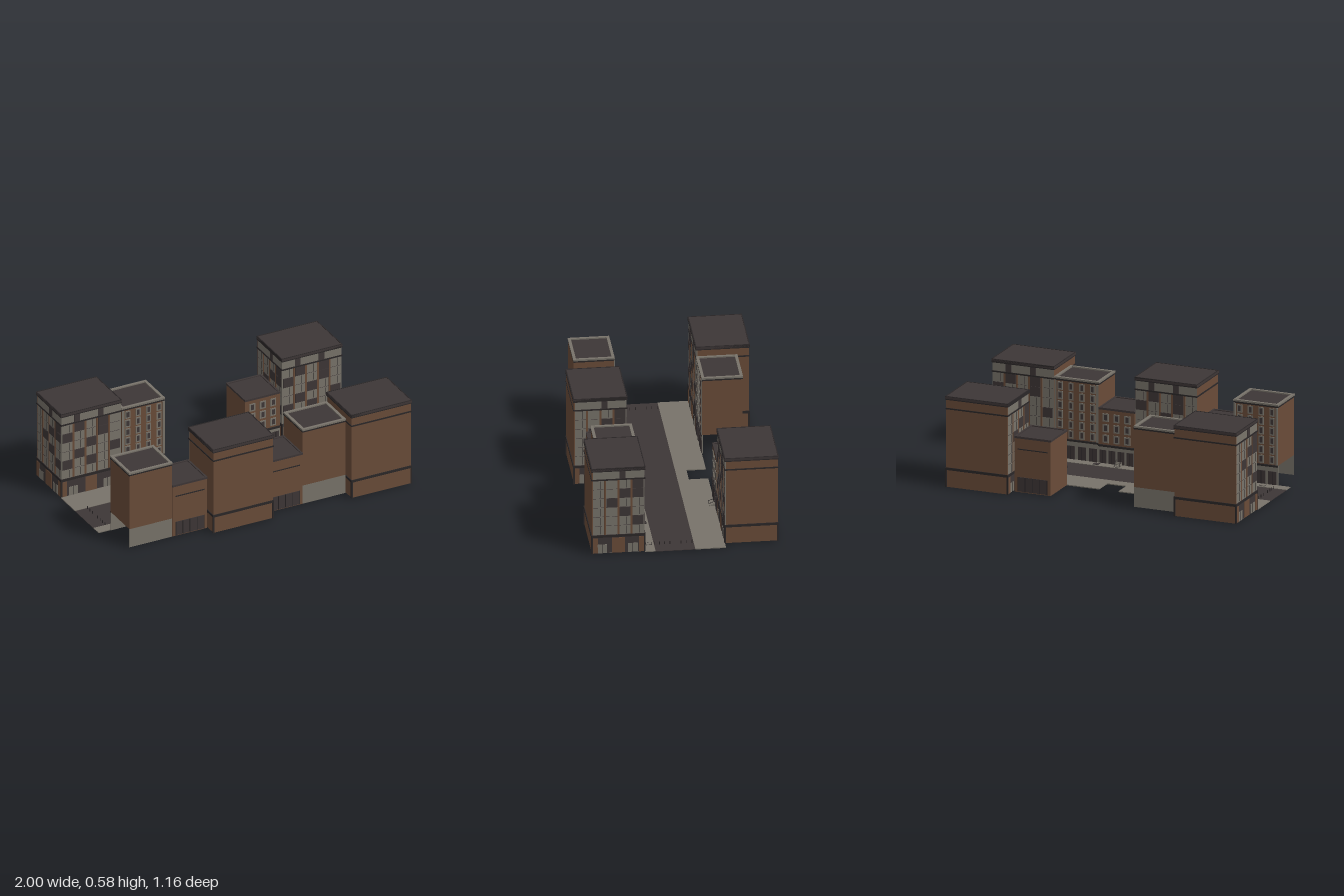
import * as THREE from 'three';

const mat = (name, color) => {
  const m = new THREE.MeshStandardMaterial({ color });
  m.name = name;
  return m;
};

export function createModel() {
  const brick = mat('brick', 0x6a4c39);
  const stone = mat('stone', 0x78736a);
  const slate = mat('slate', 0x3d3636);
  const trim = mat('dark trim', 0x2b2728);
  const FLOOR = 0.0625, T = 0.006;

  // Box given by its x, y, z ranges
  const box = (parent, name, m, x0, x1, y0, y1, z0, z1) => {
    const mesh = new THREE.Mesh(new THREE.BoxGeometry(x1 - x0, y1 - y0, z1 - z0), m);
    mesh.position.set((x0 + x1) / 2, (y0 + y1) / 2, (z0 + z1) / 2);
    mesh.name = name;
    parent.add(mesh);
    return mesh;
  };
  const group = (parent, name, x = 0, z = 0, turn = 0) => {
    const g = new THREE.Group();
    g.name = name;
    g.position.set(x, 0, z);
    g.rotation.y = turn;
    parent.add(g);
    return g;
  };
  // Thin painted plate on a facade whose outer plane is z = 0
  const plate = (f, name, m, u0, u1, y0, y1, out = 0.003) => box(f, name, m, u0, u1, y0, y1, -0.001, out);

  // Hollow building shell, open underneath; street side at z = 0
  const shell = (g, w, d, y0, y1, mats) => {
    const h = w / 2;
    box(g, 'streetWall', mats[0], -h, h, y0, y1, -T, 0);
    box(g, 'backWall', mats[1], -h, h, y0, y1, -d, -d + T);
    if (mats[2]) box(g, 'leftWall', mats[2], -h, -h + T, y0, y1, -d + T, -T);
    if (mats[3]) box(g, 'rightWall', mats[3], h - T, h, y0, y1, -d + T, -T);
  };
  // Band running round all four sides
  const band = (g, name, m, w, d, y0, y1, out, depth = T) => {
    const h = w / 2 + out;
    for (const [z0, z1] of [[-depth + out, out], [-d - out, -d - out + depth]])
      box(g, name, m, -h, h, y0, y1, z0, z1);
    for (const [x0, x1] of [[-h, -h + depth], [h - depth, h]])
      box(g, name, m, x0, x1, y0, y1, -d - out + depth, -depth + out);
  };

  // Stone front of a tower: bays, brick strips and scattered dark panels
  const towerFacade = (f, w, bays, dark, attic) => {
    const p = w / bays;
    for (let i = 0; i < bays; i++) {
      const u = -w / 2 + i * p;
      if (i) plate(f, 'brickStrip', brick, u - 0.006, u + 0.006, 0.13, 0.503);
      for (let r = 0; r < 6; r++) {
        const y = 0.128 + r * FLOOR;
        if (dark.includes(i + ',' + r))
          plate(f, 'darkPanel', slate, u + 0.007, u + p - 0.007, y + 0.001, y + FLOOR - 0.001, 0.004);
        else
          plate(f, 'windowJoint', trim, u + p * 0.62, u + p * 0.62 + 0.002, y + 0.006, y + FLOOR - 0.006, 0.002);
        plate(f, 'floorJoint', slate, u + 0.006, u + p - 0.006, y - 0.0007, y + 0.0007, 0.002);
      }
    }
    for (const i of attic)
      plate(f, 'atticPanel', slate, -w / 2 + i * p + 0.006, -w / 2 + i * p + 0.044, 0.507, 0.565);
    // Ground floor: dark shopfronts between brick piers
    plate(f, 'shopfront', slate, -w / 2, w / 2, 0.005, 0.113, 0.002);
    const bay = w / 2;
    for (const c of [-bay, 0, bay]) {
      const half = c ? 0.035 : 0.04;
      plate(f, 'brickPier', brick, Math.max(c - half, -bay), Math.min(c + half, bay), 0.005, 0.108, 0.004);
    }
    for (const s of [-1, 1]) {
      const c = s * w * 0.29;
      plate(f, 'stonePanel', stone, c - 0.035, c + 0.025, 0.005, 0.065, 0.004);
      plate(f, 'doorLine', trim, c - 0.008, c - 0.004, 0.005, 0.065, 0.005);
    }
  };

  const tower = (g) => {
    const w = 0.41, d = 0.325;
    shell(g, w, d, 0.003, 0.57, [stone, brick, stone, brick]);
    towerFacade(group(g, 'streetFacade'), w, 5,
      ['0,4', '1,2', '1,5', '2,1', '2,3', '3,4', '4,0', '4,2', '0,1', '3,5'], [1, 3]);
    const side = group(g, 'sideFacade', -w / 2, -d / 2, -Math.PI / 2);
    towerFacade(side, d, 4, ['1,3', '2,2', '2,4', '3,1', '3,4', '3,5'], [2]);
    band(g, 'cornice', trim, w, d, 0.112, 0.128, 0.005);
    band(g, 'upperMoulding', trim, w, d, 0.501, 0.51, 0.004);
    for (const x of [-w / 2, w / 2]) for (const z of [0, -d])
      box(g, 'cornerPost', trim, x - 0.005, x + 0.005, 0.002, 0.112, z - 0.005, z + 0.005);
    box(g, 'roof', slate, -0.21, 0.21, 0.568, 0.583, -d - 0.005, 0.005);
    band(g, 'roofEdge', trim, w, d, 0.562, 0.585, 0.005);
  };

  // Framed window with a dark pane
  const framedWindow = (f, u, y, w, h) => {
    plate(f, 'windowFrame', stone, u - w / 2, u + w / 2, y, y + h, 0.004);
    plate(f, 'windowPane', slate, u - w / 4, u + w / 4, y + 0.01, y + h - 0.008, 0.006);
  };
  const shops = (f, w) => {
    for (let i = 0; i < 4; i++) {
      const u = (i - 1.5) * w / 4;
      plate(f, 'shopWindow', slate, u - w * 0.09, u + w * 0.09, 0.006, 0.09, 0.004);
      plate(f, 'shopMullion', trim, u - 0.002, u + 0.002, 0.006, 0.09, 0.006);
    }
  };

  const apartment = (g) => {
    const w = 0.295, d = 0.25;
    shell(g, w, d, 0.003, 0.13, [stone, stone, stone, null]);
    shell(g, w, d, 0.13, 0.51, [brick, brick, brick, brick]);
    const f = group(g, 'streetFacade');
    shops(f, w);
    plate(f, 'ledge', trim, -w / 2, w / 2, 0.12, 0.132, 0.008);
    for (let i = 0; i < 4; i++)
      for (let r = 0; r < 6; r++) framedWindow(f, (i - 1.5) * 0.072, 0.137 + r * 0.061, 0.034, 0.052);
    for (const s of [-1, 1])
      plate(f, 'cornerStrip', stone, s * 0.14 - 0.007, s * 0.14 + 0.007, 0.13, 0.5, 0.004);
    band(g, 'moulding', trim, w, d, 0.501, 0.511, 0.002);
    box(g, 'roof', slate, -w / 2 + T, w / 2 - T, 0.505, 0.514, -d + T, -T);
    band(g, 'parapet', stone, w, d, 0.511, 0.522, 0.003, 0.018);
  };

  const lowHouse = (g) => {
    const w = 0.24, d = 0.25;
    shell(g, w, d, 0.003, 0.35, [brick, brick, brick, brick]);
    const f = group(g, 'streetFacade');
    plate(f, 'shopBase', stone, -w / 2, w / 2, 0.005, 0.11, 0.002);
    shops(f, w);
    plate(f, 'ledge', trim, -w / 2, w / 2, 0.112, 0.125, 0.008);
    for (let i = 0; i < 3; i++)
      for (let r = 0; r < 3; r++) framedWindow(f, (i - 1) * 0.072, 0.137 + r * 0.068, 0.04, 0.052);
    // Back: dark garage doors and a ledge line
    const b = group(g, 'backFacade', 0, -d, Math.PI);
    plate(b, 'garageDoor', slate, -0.1, 0.1, 0.008, 0.1);
    for (let i = 0; i <= 4; i++)
      plate(b, 'doorPost', trim, -0.1 + i * 0.049, -0.096 + i * 0.049, 0.008, 0.1, 0.005);
    plate(b, 'ledge', trim, -0.1, 0.1, 0.276, 0.282, 0.004);
    box(g, 'roof', slate, -w / 2 + T, w / 2 - T, 0.346, 0.354, -d + T, -T);
    band(g, 'roofEdge', slate, w, d, 0.347, 0.36, 0.002, 0.012);
  };

  const model = new THREE.Group();
  model.name = 'streetBlock';

  // Buildings: [name, builder, centre x, front row?]
  const plots = [
    ['tower', tower, -0.79, false], ['apartment', apartment, -0.43, false],
    ['lowHouse', lowHouse, 0.395, false], ['tower', tower, 0.735, false],
    ['apartment', apartment, -0.77, true], ['lowHouse', lowHouse, -0.5, true],
    ['tower', tower, -0.17, true], ['lowHouse', lowHouse, 0.16, true],
    ['apartment', apartment, 0.428, true], ['tower', tower, 0.785, true],
  ];
  for (const [name, build, x, front] of plots)
    build(group(model, name, x, front ? 0.251 : -0.251, front ? Math.PI : 0));

  // Street and pavements, with the recess in the far pavement
  box(model, 'road', slate, -1, 1, 0, 0.003, -0.06, 0.185);
  box(model, 'nearPavement', stone, -1, 1, 0, 0.006, 0.185, 0.25);
  box(model, 'farPavement', stone, -1, 1, 0, 0.006, -0.13, -0.06);
  box(model, 'farPavementLeft', stone, 0.06, 1, 0, 0.006, -0.25, -0.13);
  box(model, 'farPavementRight', stone, -1, -0.07, 0, 0.006, -0.25, -0.13);

  // Cellar hatches on the near pavement
  for (const x of [-0.83, -0.63, -0.3, 0.14, 0.28, 0.61, 0.9]) {
    const filled = [-0.63, -0.3, 0.28, 0.61].includes(x);
    box(model, 'hatchFrame', trim, x - 0.019, x + 0.019, 0.004, 0.007, 0.197, 0.235);
    box(model, 'hatch', filled ? slate : stone, x - 0.016, x + 0.016, 0.004, 0.008, 0.2, 0.232);
  }
  // Bollards across both ends of the road
  for (const x of [-0.92, 0.91])
    for (const z of [-0.05, -0.015, 0.018, 0.085, 0.12, 0.15, 0.18])
      box(model, 'bollard', trim, x - 0.002, x + 0.002, 0.002, 0.022, z - 0.002, z + 0.002);

  // Doorsteps with handrails
  for (const [x, s] of [[0.42, -1], [-0.53, 1], [0.14, 1]]) {
    for (let i = 0; i < 3; i++)
      box(model, 'doorstep', stone, x - 0.018, x + 0.018, 0.005, 0.012 + i * 0.006,
        s * 0.236 + (s > 0 ? -0.024 + i * 0.012 : -0.014), s * 0.236 + (s > 0 ? 0.014 : 0.024 - i * 0.012));
    for (const e of [-0.019, 0.019]) {
      const rail = box(model, 'handrail', trim, x + e - 0.001, x + e + 0.001, 0.031, 0.034, s * 0.228 - 0.02, s * 0.228 + 0.02);
      rail.rotation.x = -s * 0.35;
      box(model, 'railPost', trim, x + e - 0.001, x + e + 0.001, 0.005, 0.026, s * 0.21 - 0.001, s * 0.21 + 0.001);
    }
  }
  return model;
}
